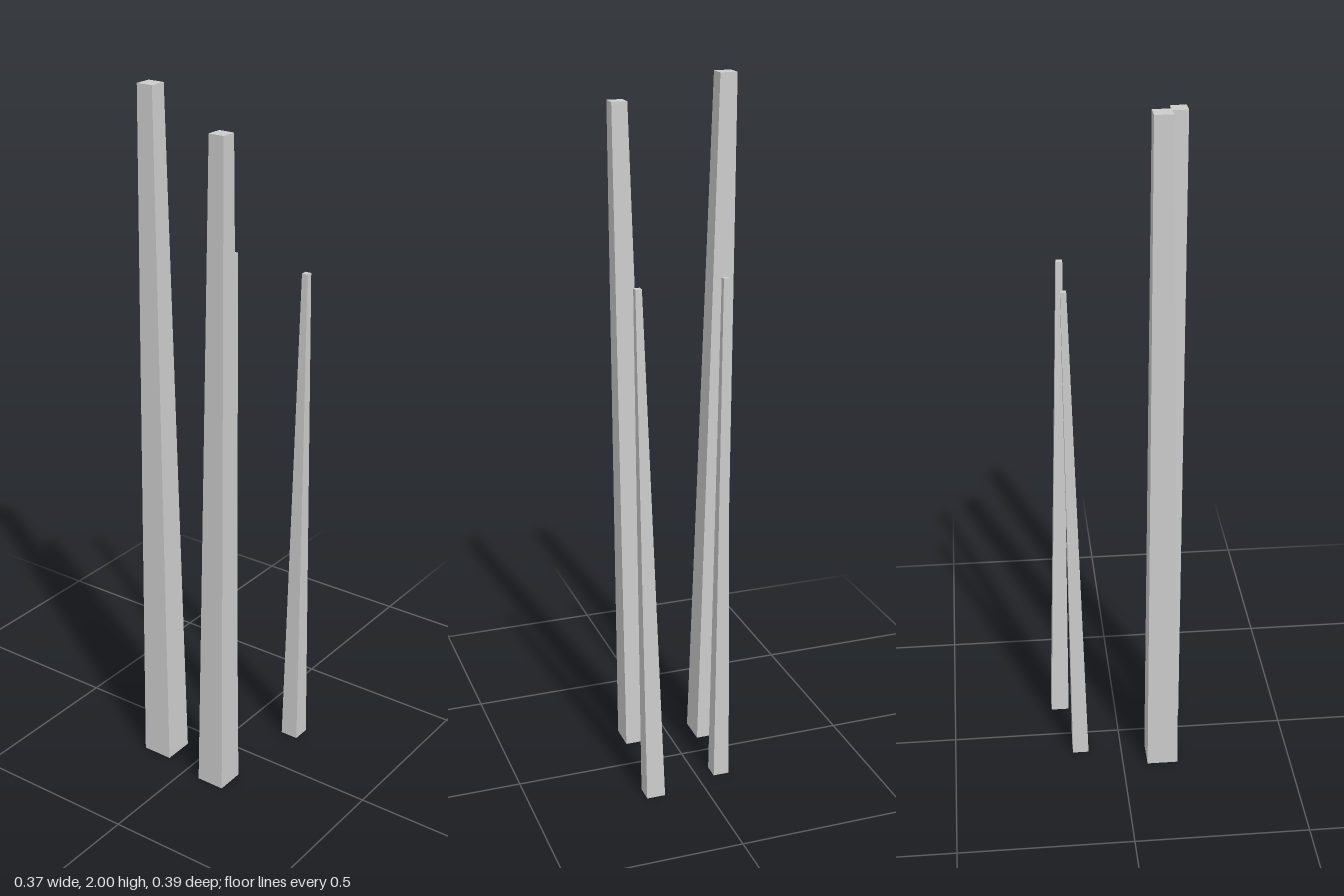
import * as THREE from 'three';

const material = new THREE.MeshStandardMaterial({ color: 0xcccccc, flatShading: true });

// Leaning tapered post: bottom and top rectangles given as [xMin, xMax, zMin, zMax]
function post(name, height, bottom, top) {
  const geometry = new THREE.BoxGeometry(1, 1, 1);
  const p = geometry.attributes.position;
  for (let i = 0; i < p.count; i++) {
    const isTop = p.getY(i) > 0;
    const r = isTop ? top : bottom;
    p.setXYZ(i, p.getX(i) < 0 ? r[0] : r[1], isTop ? height : 0, p.getZ(i) < 0 ? r[2] : r[3]);
  }
  geometry.computeVertexNormals();
  const mesh = new THREE.Mesh(geometry, material);
  mesh.name = name;
  return mesh;
}

export function createModel() {
  const group = new THREE.Group();
  group.name = 'leaningPosts';
  group.add(
    // Thick front pair
    post('frontRightPost', 2, [-0.167, -0.076, 0.073, 0.164], [-0.183, -0.134, 0.069, 0.118]),
    post('frontLeftPost', 1.925, [0.055, 0.139, 0.11, 0.194], [0.1, 0.145, 0.15, 0.194]),
    // Thin back pair
    post('backRightPost', 1.5, [-0.095, -0.048, -0.146, -0.099], [-0.077, -0.061, -0.159, -0.143]),
    post('backLeftPost', 1.49, [0.121, 0.175, -0.198, -0.145], [0.164, 0.182, -0.156, -0.138]),
  );
  return group;
}
